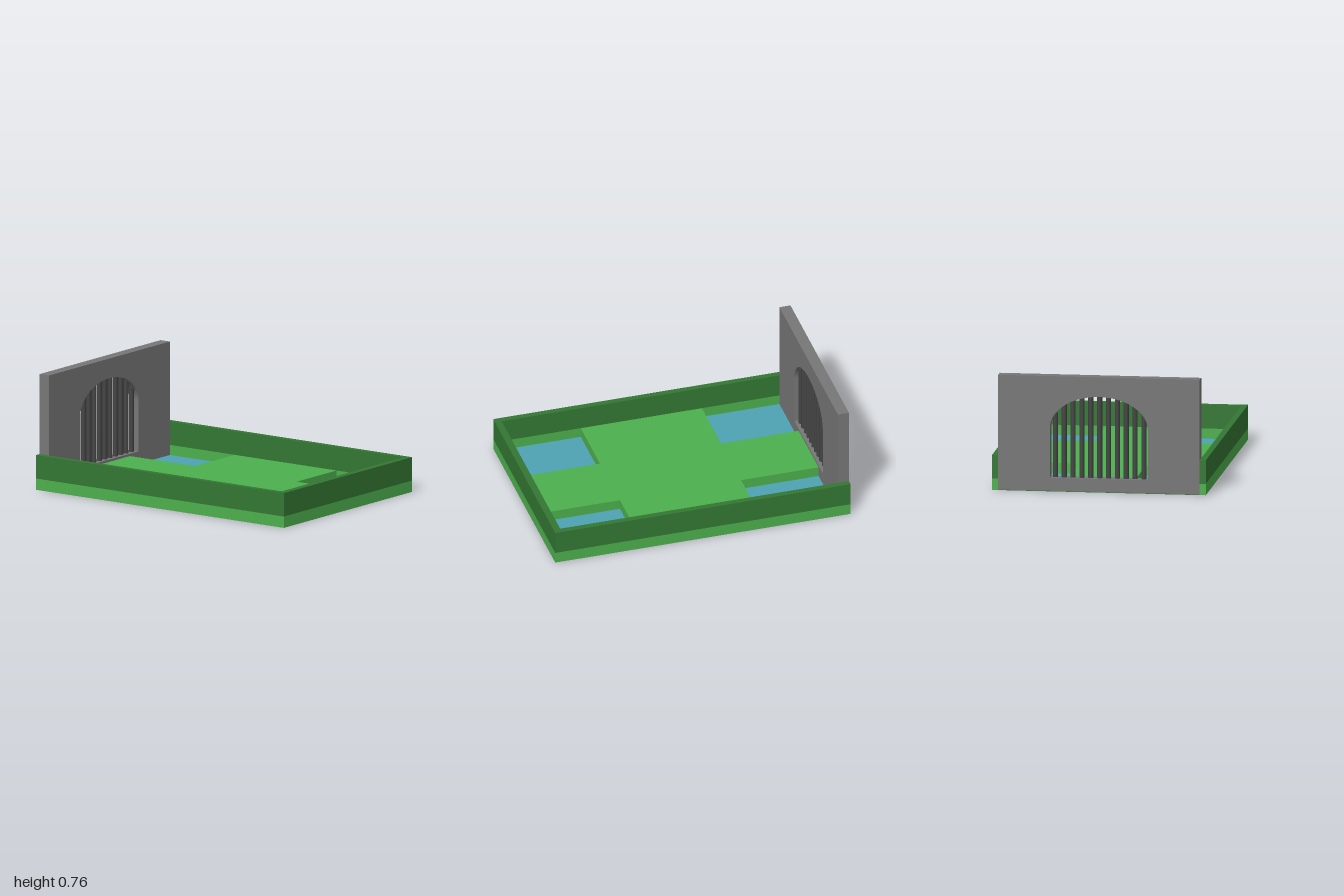
import * as THREE from 'three';

const paint = (color, extra = {}) => new THREE.MeshStandardMaterial({ color, ...extra });

export function createModel() {
  const root = new THREE.Group();
  const lightGreen = paint(0x4db04d), darkGreen = paint(0x337733);
  const blue = paint(0x4ea3b3), stone = paint(0x777777), iron = paint(0x444444);

  const add = (name, geometry, material, parent = root) => {
    const mesh = new THREE.Mesh(geometry, material);
    mesh.name = name;
    parent.add(mesh);
    return mesh;
  };
  // Box given by its limits on each axis
  const block = (name, [x0, x1], [y0, y1], [z0, z1], material) =>
    add(name, new THREE.BoxGeometry(x1 - x0, y1 - y0, z1 - z0), material)
      .position.set((x0 + x1) / 2, (y0 + y1) / 2, (z0 + z1) / 2);

  const inZ = 0.66, outZ = 0.7, inX = 0.955, gateX = -0.925;
  const floorY = 0.075, wallY = 0.23, plateY = 0.004;

  // Border walls: light footing below, dark hedge above
  for (const [y0, y1, material, label] of [[0, floorY, lightGreen, 'Footing'], [floorY, wallY, darkGreen, 'Wall']]) {
    block('back' + label, [-1, 1], [y0, y1], [-outZ, -inZ], material);
    block('front' + label, [-1, 1], [y0, y1], [inZ, outZ], material);
    block('end' + label, [inX, 1], [y0, y1], [-inZ, inZ], material);
  }

  // Cross-shaped floor that leaves the four corners open for pools
  const poolZ = 0.225, poolL = -0.4, poolR = 0.42;
  const cross = (x0) => new THREE.Shape([
    [x0, -poolZ], [poolL, -poolZ], [poolL, -inZ], [poolR, -inZ], [poolR, -poolZ], [inX, -poolZ],
    [inX, poolZ], [poolR, poolZ], [poolR, inZ], [poolL, inZ], [poolL, poolZ], [x0, poolZ],
  ].map(([x, y]) => new THREE.Vector2(x, y)));
  const slab = (name, x0, y0, y1, material) => {
    const geometry = new THREE.ExtrudeGeometry(cross(x0), { depth: y1 - y0, bevelEnabled: false });
    add(name, geometry.rotateX(-Math.PI / 2).translate(0, y0, 0), material);
  };
  slab('floor', gateX, plateY, floorY, lightGreen);
  slab('floorUnderside', gateX, 0, plateY, darkGreen);
  block('gateUnderside', [-1, gateX], [0, plateY], [-inZ, inZ], darkGreen);

  // Corner pools
  for (const [x0, x1] of [[gateX, poolL], [poolR, inX]])
    for (const z0 of [-inZ, poolZ])
      block('pool', [x0, x1], [0, 0.008], [z0, z0 + inZ - poolZ], blue);

  // Gate wall with an arched opening
  const gate = new THREE.Group();
  gate.name = 'gate';
  root.add(gate);
  const half = 0.32, spring = 0.42, rise = 0.21, sill = 0.09;
  const face = new THREE.Shape([[-inZ, plateY], [inZ, plateY], [inZ, 0.76], [-inZ, 0.76]]
    .map(([x, y]) => new THREE.Vector2(x, y)));
  const arch = new THREE.Path();
  arch.moveTo(half, sill);
  arch.lineTo(half, spring);
  arch.absellipse(0, spring, half, rise, 0, Math.PI, false, 0);
  arch.lineTo(-half, sill);
  arch.closePath();
  face.holes.push(arch);
  const wall = new THREE.ExtrudeGeometry(face, { depth: 1 + gateX, bevelEnabled: false, curveSegments: 24 });
  add('gateWall', wall.rotateY(Math.PI / 2).translate(-1, 0, 0), stone, gate);

  // Bars reach from the sill into the arch
  for (let i = -5; i <= 5; i++) {
    const z = i * 0.058;
    const top = spring + rise * Math.sqrt(1 - (z / half) ** 2) + 0.006;
    add('gateBar', new THREE.CylinderGeometry(0.017, 0.017, top - sill, 16), iron, gate)
      .position.set(-0.962, (top + sill) / 2, z);
  }
  return root;
}
